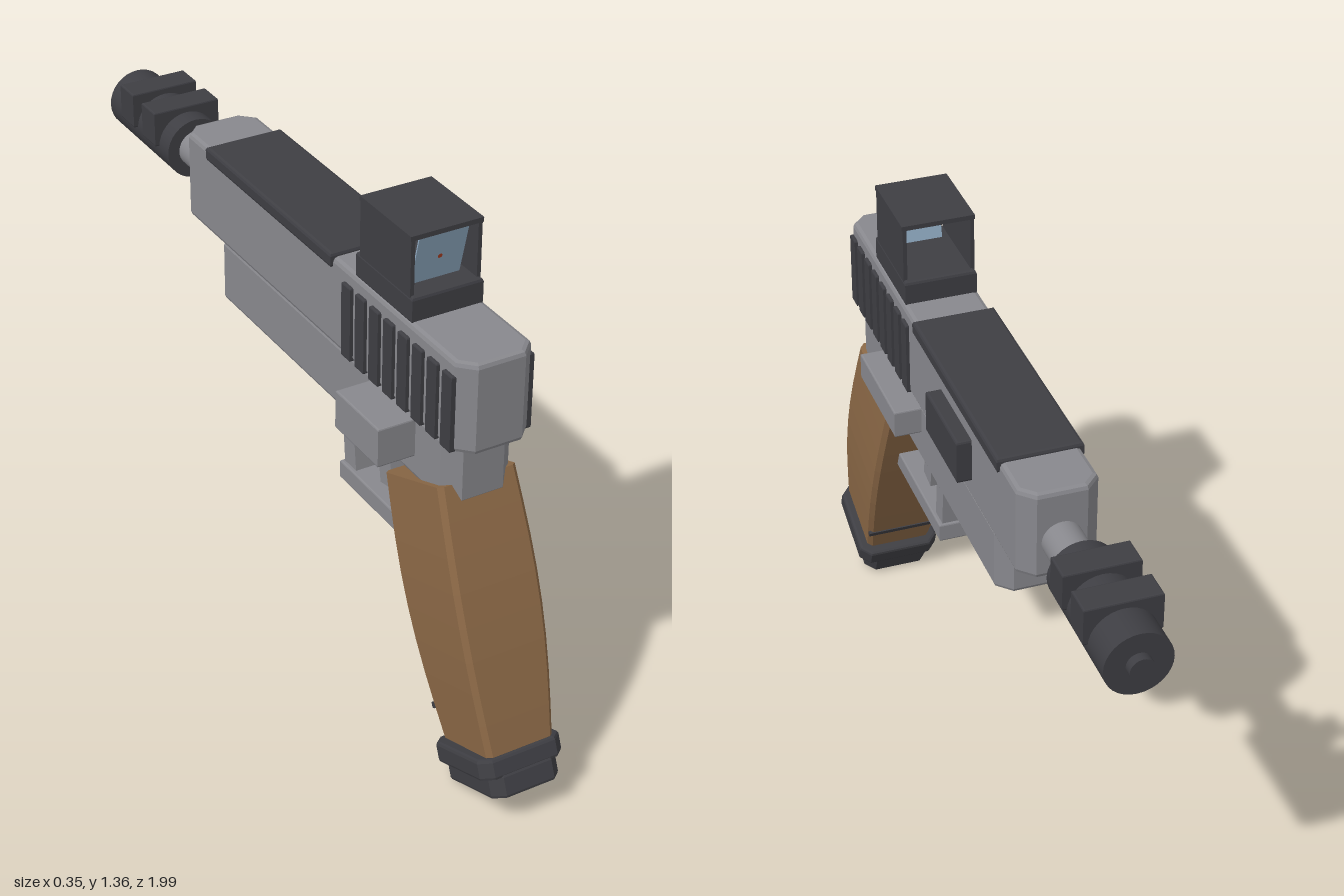
import * as THREE from 'three';

const mat = (name, color, extra = {}) => {
  const m = new THREE.MeshStandardMaterial({ color, ...extra });
  m.name = name;
  return m;
};

// Block whose plan has cut corners (c) and whose top and bottom edges are bevelled (b)
function cutBlock(w, h, d, c, b) {
  const x = w / 2 - b, z = d / 2 - b;
  const s = new THREE.Shape([
    [x, -z + c], [x, z - c], [x - c, z], [-x + c, z],
    [-x, z - c], [-x, -z + c], [-x + c, -z], [x - c, -z],
  ].map(p => new THREE.Vector2(...p)));
  const g = new THREE.ExtrudeGeometry(s, {
    depth: h - 2 * b, bevelEnabled: true, bevelThickness: b, bevelSize: b, bevelSegments: 2,
  });
  return g.translate(0, 0, -h / 2 + b).rotateX(-Math.PI / 2);
}

// Side outline (z, y points) extruded across the width
function sidePlate(points, width) {
  const s = new THREE.Shape(points.map(([z, y]) => new THREE.Vector2(-z, y)));
  const g = new THREE.ExtrudeGeometry(s, { depth: width, bevelEnabled: false });
  return g.translate(0, 0, -width / 2).rotateY(Math.PI / 2);
}

// Barrel-shaped grip lofted from chamfered rectangles
function gripGeometry() {
  const rows = 8, c = 0.012, pos = [], idx = [];
  const lerp = THREE.MathUtils.lerp;
  for (let i = 0; i <= rows; i++) {
    const t = i / rows, bulge = 0.013 * Math.sin(Math.PI * t);
    const bz = lerp(0.727, 0.95, t) + bulge, by = lerp(0.81, 0.19, t);
    const fz = lerp(0.49, 0.755, t) - bulge, fy = lerp(0.715, 0.115, t);
    const w = lerp(0.103, 0.09, t) + 0.015 * Math.sin(Math.PI * t);
    const e = c / Math.hypot(bz - fz, by - fy);
    const ring = [[w - c, 0], [w, e], [w, 1 - e], [w - c, 1],
      [c - w, 1], [-w, 1 - e], [-w, e], [c - w, 0]];
    for (const [x, u] of ring) pos.push(x, lerp(by, fy, u), lerp(bz, fz, u));
  }
  for (let i = 0; i < rows; i++) for (let k = 0; k < 8; k++) {
    const a = i * 8 + k, b = i * 8 + (k + 1) % 8;
    idx.push(a, a + 8, b, b, a + 8, b + 8);
  }
  for (let k = 1; k < 7; k++) {
    idx.push(0, k, k + 1);
    idx.push(rows * 8, rows * 8 + k + 1, rows * 8 + k);
  }
  let g = new THREE.BufferGeometry();
  g.setAttribute('position', new THREE.Float32BufferAttribute(pos, 3));
  g.setIndex(idx);
  g = g.toNonIndexed();
  g.computeVertexNormals();
  return g;
}

export function createModel() {
  const root = new THREE.Group();
  root.name = 'pistol';
  const body = new THREE.Group();
  body.name = 'body';
  body.position.x = 0.012;
  root.add(body);

  const metal = mat('grey metal', 0x88888d);
  const dark = mat('dark metal', 0x3e3e43);
  const wood = mat('brown wood', 0x8b6846);
  const glass = mat('blue glass', 0x8ea8c0, { side: THREE.DoubleSide });
  const red = mat('red dot', 0xb04020, { side: THREE.DoubleSide });

  const add = (name, geo, m, x = 0, y = 0, z = 0, rx = 0) => {
    const mesh = new THREE.Mesh(geo, m);
    mesh.name = name;
    mesh.position.set(x, y, z);
    mesh.rotation.x = rx;
    body.add(mesh);
    return mesh;
  };
  // Block given by its limits on each axis
  const block = (name, m, [x0, x1], [y0, y1], [z0, z1], b = 0.006, c = 0) =>
    add(name, b ? cutBlock(x1 - x0, y1 - y0, z1 - z0, c, b)
      : new THREE.BoxGeometry(x1 - x0, y1 - y0, z1 - z0),
    m, (x0 + x1) / 2, (y0 + y1) / 2, (z0 + z1) / 2);
  const tube = (name, m, r, y, z0, z1) =>
    add(name, new THREE.CylinderGeometry(r, r, z1 - z0, 32), m, 0, y, (z0 + z1) / 2, Math.PI / 2);

  // Slide and frame
  block('slide', metal, [-0.0975, 0.0975], [0.925, 1.157], [-0.518, 0.8], 0.012, 0.03);
  block('frame', metal, [-0.09, 0.09], [0.762, 0.926], [-0.352, 0.744], 0.01, 0.03);
  block('topRail', dark, [-0.105, 0.105], [1.13, 1.168], [-0.375, 0.242], 0.008);
  block('ejectionPort', dark, [0.085, 0.135], [0.977, 1.092], [-0.18, 0.05]);
  block('rightLever', metal, [0.07, 0.16], [0.846, 0.919], [0.23, 0.517], 0.004);
  block('leftLever', metal, [-0.187, -0.07], [0.818, 0.919], [0.41, 0.6], 0.004);

  // Rear grip ribs on both sides
  for (let i = 0; i < 8; i++) for (const s of [-1, 1]) {
    const z = 0.746 - i * 0.0617;
    block('slideRib', dark, [s * 0.096 - 0.01, s * 0.096 + 0.01], [0.927, 1.122], [z - 0.02, z + 0.02], 0.004);
  }

  // Barrel and muzzle device
  tube('barrel', metal, 0.049, 1.023, -0.66, -0.5);
  tube('muzzle', dark, 0.081, 1.022, -0.977, -0.637);
  tube('muzzleTip', dark, 0.03, 1.022, -1, -0.96);
  for (const z of [-0.725, -0.85])
    block('muzzleBlock', dark, [-0.092, 0.092], [1.025, 1.12], [z - 0.037, z + 0.037], 0.004);

  // Open box sight
  block('sightBase', dark, [-0.092, 0.092], [1.15, 1.218], [0.335, 0.578], 0.008);
  for (const s of [-1, 1])
    block('sightWall', dark, [s * 0.086 - 0.005, s * 0.086 + 0.005], [1.21, 1.358], [0.35, 0.566], 0);
  block('sightRoof', dark, [-0.093, 0.093], [1.354, 1.366], [0.35, 0.568], 0);
  add('sightGlass', new THREE.BoxGeometry(0.127, 0.146, 0.004), glass, 0, 1.284, 0.537, 0.25);
  add('aimingDot', new THREE.CircleGeometry(0.006, 12), red, 0, 1.281, 0.54, 0.25);

  // Trigger and guard
  block('triggerMount', metal, [-0.045, 0.045], [0.705, 0.77], [0.307, 0.445], 0.004);
  block('rearMount', metal, [-0.045, 0.045], [0.73, 0.77], [0.525, 0.62], 0);
  add('trigger', sidePlate([[0.388, 0.72], [0.332, 0.72], [0.356, 0.582], [0.411, 0.593]], 0.06), metal);
  add('guardPost', sidePlate([[0.242, 0.77], [0.194, 0.77], [0.215, 0.55], [0.268, 0.55]], 0.09), metal);
  block('guardBar', metal, [-0.055, 0.055], [0.515, 0.565], [0.206, 0.62], 0.004);

  // Grip, its front band and stepped butt
  add('grip', gripGeometry(), wood);
  add('gripBand', new THREE.BoxGeometry(0.194, 0.014, 0.01), dark, 0, 0.187, 0.72, -0.415);
  add('buttUpper', cutBlock(0.224, 0.052, 0.24, 0.022, 0.008), dark, 0, 0.122, 0.856, -0.389);
  add('buttLower', cutBlock(0.184, 0.06, 0.238, 0.022, 0.008), dark, 0, 0.08, 0.876, -0.389);

  return root;
}
